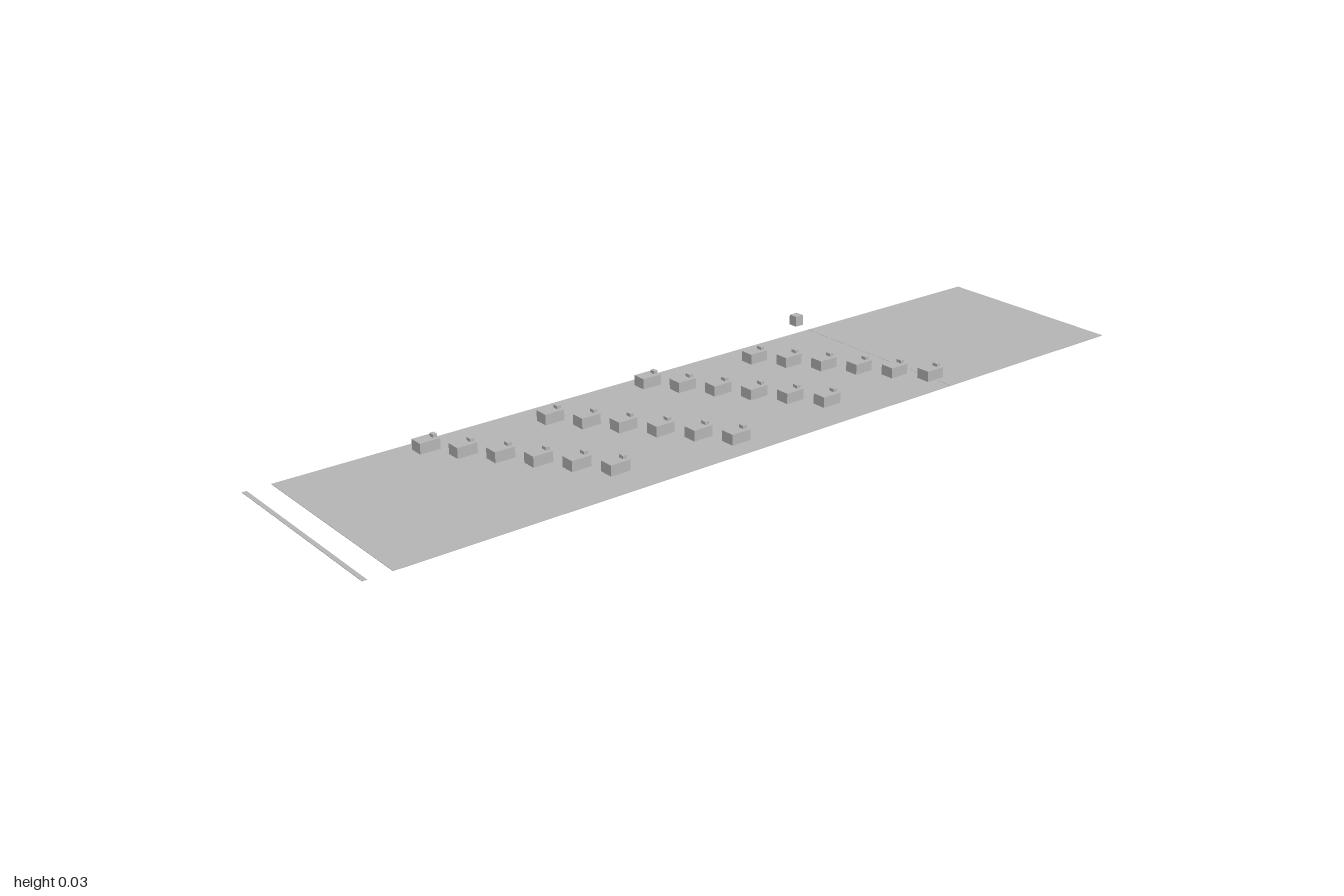
import * as THREE from 'three';

export function createModel() {
  const model = new THREE.Group();
  const grey = new THREE.MeshStandardMaterial({ color: 0xb4b4b4 });
  grey.name = 'plain grey';

  // Box given by its centre in x and z and its underside in y
  function box(parent, name, w, h, d, x, y, z) {
    const mesh = new THREE.Mesh(new THREE.BoxGeometry(w, h, d), grey);
    mesh.name = name;
    mesh.position.set(x, y + h / 2, z);
    parent.add(mesh);
    return mesh;
  }

  // Long flat track surface
  const trackX = 0.029, trackWidth = 0.474;
  box(model, 'track', trackWidth, 0.001, 1.938, trackX, 0, -0.031);

  // Thin cross lines: one past the near end, one on the track by the first block
  box(model, 'endLine', trackWidth, 0.001, 0.01, trackX, 0, 0.995);
  box(model, 'startLine', trackWidth, 0.0006, 0.006, trackX, 0.0008, -0.481);

  // Small marker block beside the track
  box(model, 'markerBlock', 0.023, 0.025, 0.023, -0.2555, 0, -0.482);

  // Four slanted rows of six blocks; alternate rows shift by half a column
  for (let i = 0; i < 24; i++) {
    const row = Math.floor(i / 6), column = i % 6;
    const block = new THREE.Group();
    block.name = 'gridBlock';
    block.position.set(0.202 - column * 0.0664 - (row % 2) * 0.0332, 0, -0.479 + i * 0.0475);
    box(block, 'body', 0.0333, 0.0245, 0.048, 0, 0.0005, 0);
    box(block, 'rearFin', 0.0135, 0.007, 0.01, 0, 0.025, -0.018);
    model.add(block);
  }
  return model;
}
